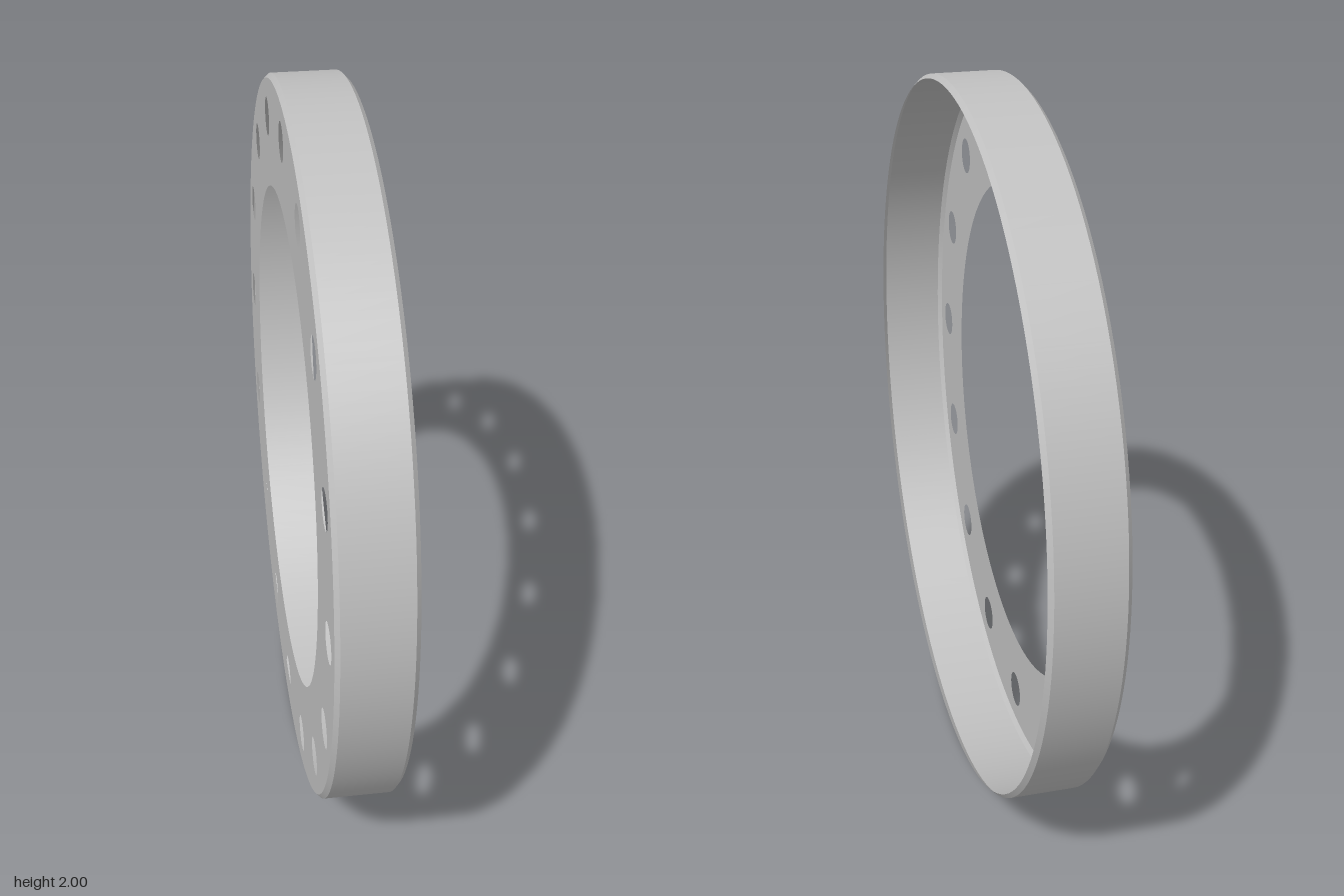
import * as THREE from 'three';

const R = 1, HALF = 0.1, BEVEL = 0.012;   // outer radius, half width, edge bevel
const BORE = 0.7, HOLE_CIRCLE = 0.886, HOLE = 0.052, HOLES = 16;
const SEGMENTS = 128;

export function createModel() {
  const model = new THREE.Group();
  model.name = 'flangedRing';
  const metal = new THREE.MeshStandardMaterial({ color: 0xc0c0c0, side: THREE.DoubleSide });
  metal.name = 'grey metal';

  const ring = new THREE.Group();
  ring.name = 'ring';
  ring.position.y = R;
  model.add(ring);

  // One band of the rim, swept around the x axis between two (radius, x) points
  function addBand(name, r0, x0, r1, x1) {
    const points = [new THREE.Vector2(r0, x0), new THREE.Vector2(r1, x1)];
    const geometry = new THREE.LatheGeometry(points, SEGMENTS);
    geometry.rotateZ(-Math.PI / 2);
    const mesh = new THREE.Mesh(geometry, metal);
    mesh.name = name;
    ring.add(mesh);
  }

  // Thin cylindrical wall with a bevelled edge at each end
  addBand('flangeBevel', R - BEVEL, -HALF, R, -HALF + BEVEL);
  addBand('rimWall', R, -HALF + BEVEL, R, HALF - BEVEL);
  addBand('openEdgeBevel', R, HALF - BEVEL, R - BEVEL, HALF);

  // Flat flange closing the -x end, with a wide bore and a circle of bolt holes
  const shape = new THREE.Shape().absarc(0, 0, R - BEVEL, 0, Math.PI * 2, false);
  const addHole = (x, y, r) =>
    shape.holes.push(new THREE.Path().absarc(x, y, r, 0, Math.PI * 2, true));
  addHole(0, 0, BORE);
  for (let i = 0; i < HOLES; i++) {
    const a = (i / HOLES) * Math.PI * 2;
    addHole(HOLE_CIRCLE * Math.cos(a), HOLE_CIRCLE * Math.sin(a), HOLE);
  }
  const flangeGeometry = new THREE.ShapeGeometry(shape, SEGMENTS / 2);
  flangeGeometry.rotateY(-Math.PI / 2);
  const flange = new THREE.Mesh(flangeGeometry, metal);
  flange.name = 'boltFlange';
  flange.position.x = -HALF;
  ring.add(flange);

  return model;
}
